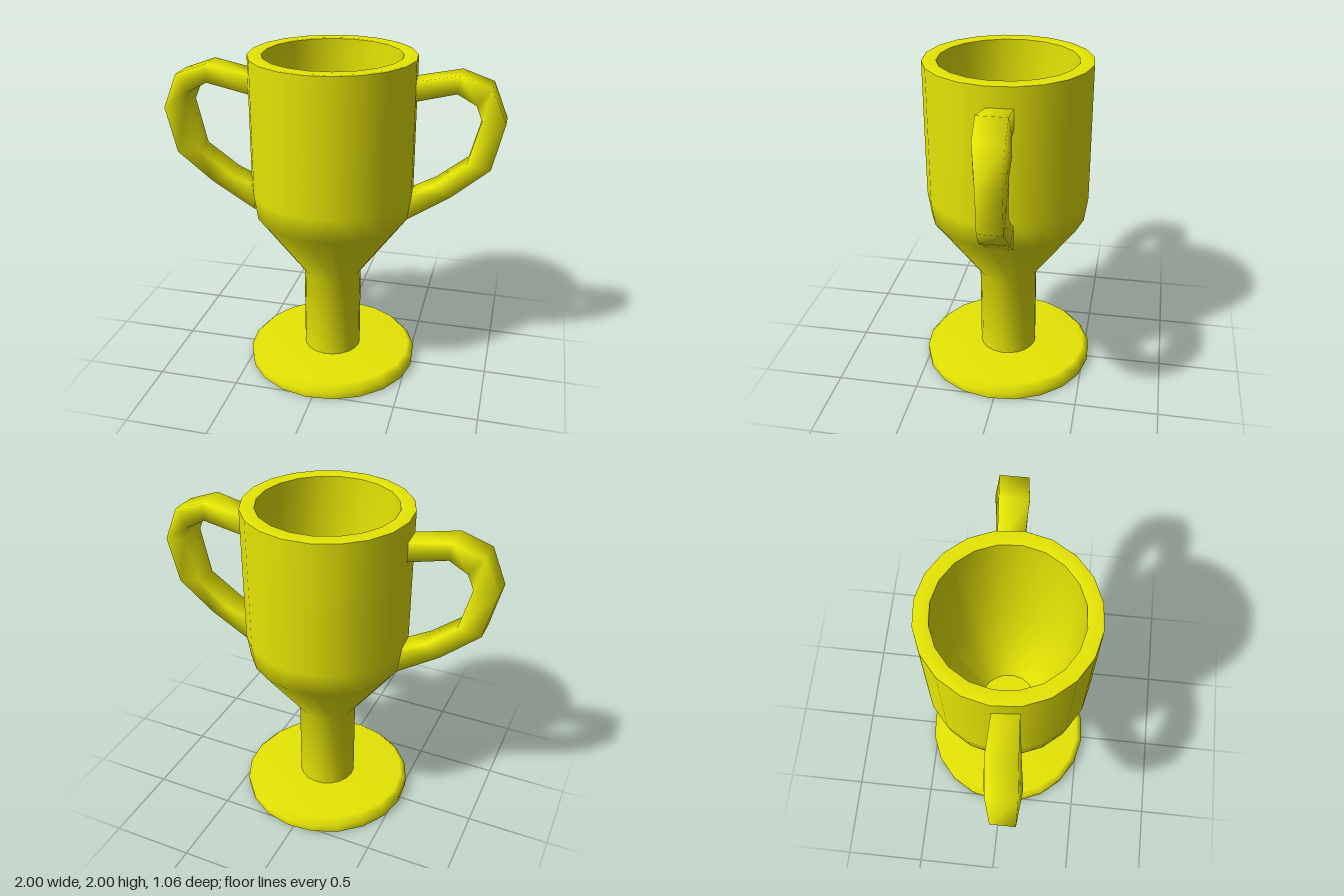
import * as THREE from 'three';

const SIDES = 20;
const gold = new THREE.MeshStandardMaterial({ color: 0xe6e604, side: THREE.DoubleSide });

function turned(name, profile) {
  const points = profile.map(([r, y]) => new THREE.Vector2(r, y));
  const mesh = new THREE.Mesh(new THREE.LatheGeometry(points, SIDES, -0.075), gold);
  mesh.name = name;
  return mesh;
}

// Four-sided tube: each station is an outer and an inner edge, [x, y, back z, front z]
function handleGeometry(stations) {
  const positions = [];
  const index = [];
  stations.forEach(([[ox, oy, oBack, oFront], [ix, iy, iBack, iFront]], i) => {
    positions.push(ox, oy, oFront, ox, oy, oBack, ix, iy, iBack, ix, iy, iFront);
    if (i === 0) return;
    for (let k = 0; k < 4; k++) {
      const a = (i - 1) * 4 + k;
      const b = (i - 1) * 4 + ((k + 1) % 4);
      index.push(a, a + 4, b, b, a + 4, b + 4);
    }
  });
  const geometry = new THREE.BufferGeometry();
  geometry.setAttribute('position', new THREE.Float32BufferAttribute(positions, 3));
  geometry.setIndex(index);
  geometry.computeVertexNormals();
  return geometry;
}

export function createModel() {
  const model = new THREE.Group();
  model.name = 'trophyCup';

  // Stem flowing into the outside of the bowl
  model.add(turned('stemAndBowl', [
    [0.178, 0.09], [0.178, 0.63], [0.468, 1.03], [0.49, 1.18], [0.49, 1.995],
  ]));

  // Softly rounded lip, then the hollow inside and its flat floor
  model.add(turned('rim', [
    [0.49, 1.995], [0.485, 2], [0.448, 2], [0.41, 2], [0.405, 1.995],
  ]));
  model.add(turned('bowlInside', [[0.405, 1.995], [0.405, 1.1], [0.178, 0.66]]));
  model.add(turned('bowlFloor', [[0.178, 0.66], [0, 0.66]]));

  // Foot: shallow solid disc with a bevelled upper edge
  model.add(turned('foot', [[0.53, 0], [0.533, 0.05], [0.495, 0.09], [0, 0.09]]));
  model.add(turned('footBottom', [[0, 0], [0.53, 0]]));

  // Handles: the second is the first turned half way round
  const handle = handleGeometry([
    [[0.45, 1.87, -0.11, 0.035], [0.45, 1.75, -0.11, 0.035]],
    [[0.73, 1.925, -0.13, 0.04], [0.72, 1.82, -0.145, 0.035]],
    [[0.91, 1.86, -0.145, 0.02], [0.83, 1.76, -0.163, 0.035]],
    [[0.998, 1.65, -0.145, -0.01], [0.865, 1.67, -0.155, 0.025]],
    [[0.935, 1.375, -0.14, 0.0], [0.795, 1.4, -0.14, 0.01]],
    [[0.72, 1.2, -0.135, 0.035], [0.61, 1.255, -0.135, 0.03]],
    [[0.465, 1.03, -0.11, 0.04], [0.465, 1.185, -0.11, 0.04]],
  ]);
  ['leftHandle', 'rightHandle'].forEach((name, i) => {
    const mesh = new THREE.Mesh(handle, gold);
    mesh.name = name;
    mesh.rotation.y = i * Math.PI;
    model.add(mesh);
  });

  return model;
}
